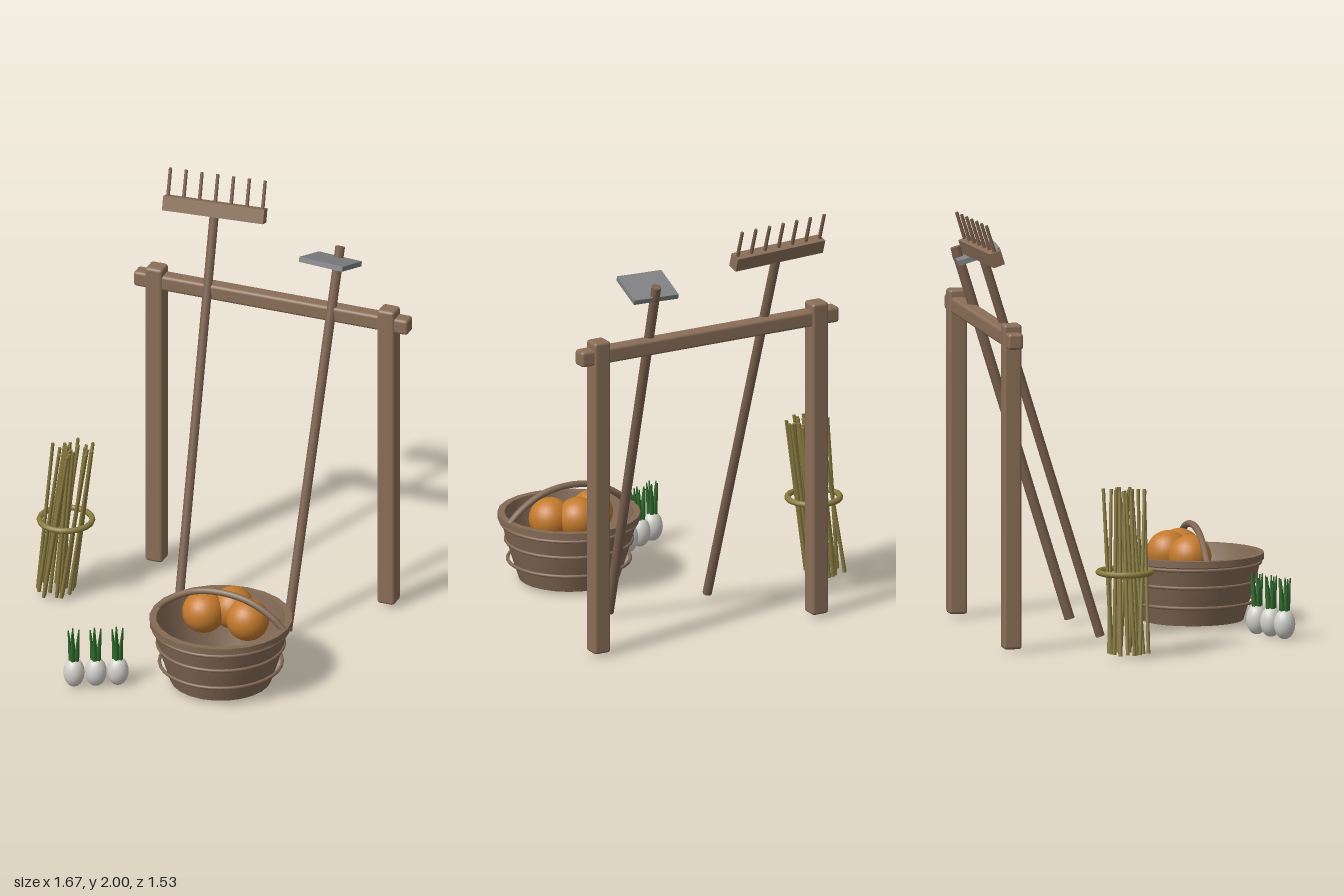
import * as THREE from 'three';
import { toCreasedNormals } from 'three/addons/utils/BufferGeometryUtils.js';
import { RoundedBoxGeometry } from 'three/addons/geometries/RoundedBoxGeometry.js';

function mat(name, color) {
  const m = new THREE.MeshStandardMaterial({ color });
  m.name = name;
  return m;
}

function add(parent, name, geometry, material, x = 0, y = 0, z = 0) {
  const m = new THREE.Mesh(geometry, material);
  m.name = name;
  m.position.set(x, y, z);
  parent.add(m);
  return m;
}

function addGroup(parent, name, x = 0, y = 0, z = 0) {
  const g = new THREE.Group();
  g.name = name;
  g.position.set(x, y, z);
  parent.add(g);
  return g;
}

// Round rod between two points
function rod(parent, name, a, b, r0, r1, sides, material) {
  const dir = b.clone().sub(a);
  const m = add(parent, name, new THREE.CylinderGeometry(r1, r0, dir.length(), sides), material);
  m.position.copy(a).addScaledVector(dir, 0.5);
  m.quaternion.setFromUnitVectors(new THREE.Vector3(0, 1, 0), dir.normalize());
  return m;
}

function hoop(parent, name, radius, tube, y, material, segments = 32) {
  const m = add(parent, name, new THREE.TorusGeometry(radius, tube, 8, segments), material, 0, y, 0);
  m.rotation.x = Math.PI / 2;
  return m;
}

const V = (x, y, z) => new THREE.Vector3(x, y, z);

export function createModel() {
  const root = new THREE.Group();
  root.name = 'gardenToolRack';
  const wood = mat('wood', 0x8a6f58);
  const handleWood = mat('handleWood', 0x7d6350);
  const wicker = mat('wicker', 0x836a55);
  const iron = mat('iron', 0x808283);
  const orange = mat('orange', 0xc47a2c);
  const cane = mat('cane', 0x8a7c40);
  const white = mat('bulbWhite', 0xd2d0ca);
  const green = mat('leafGreen', 0x2f6a2c);

  // Rack frame
  const rack = addGroup(root, 'rack', 0, 0, -0.62);
  for (const x of [-0.427, 0.733])
    add(rack, 'post', new RoundedBoxGeometry(0.086, 1.52, 0.086, 2, 0.014), wood, x, 0.78, 0);
  add(rack, 'crossbar', new RoundedBoxGeometry(1.37, 0.075, 0.072, 2, 0.014), wood, 0.155, 1.468, 0);

  // Rake leaning on the crossbar, teeth up
  const rake = addGroup(root, 'rake', -0.122, 0.02, -0.13);
  rake.rotation.set(-0.306, 0.085, 0, 'YXZ');
  rod(rake, 'rakeHandle', V(0, 0, 0), V(0, 1.9, 0), 0.022, 0.022, 8, handleWood);
  add(rake, 'rakeHead', new THREE.BoxGeometry(0.49, 0.068, 0.055), wood, 0, 1.91, 0);
  for (let i = -3; i <= 3; i++)
    rod(rake, 'rakeTooth', V(i * 0.0765, 1.93, 0), V(i * 0.0765, 2.075, 0), 0.009, 0.008, 8, handleWood);

  // Hoe leaning on the crossbar, blade up
  const hoe = addGroup(root, 'hoe', 0.415, 0.025, -0.155);
  hoe.rotation.set(-0.296, -0.09, 0, 'YXZ');
  rod(hoe, 'hoeHandle', V(0, 0, 0), V(0, 1.83, 0), 0.024, 0.024, 8, handleWood);
  add(hoe, 'hoeBlade', new THREE.BoxGeometry(0.225, 0.024, 0.205), iron, 0, 1.77, 0.085);

  // Basket bowl with wall thickness, floor and rim
  const basket = addGroup(root, 'basket', 0.31, 0, 0.405);
  const profile = [
    [0, 0.02], [0.235, 0.02], [0.264, 0.11], [0.293, 0.205], [0.316, 0.3],
    [0.332, 0.305], [0.332, 0.335], [0.3, 0.335], [0.272, 0.205], [0.21, 0.04], [0, 0.04],
  ].map(([r, y]) => new THREE.Vector2(r, y));
  add(basket, 'basketBowl', toCreasedNormals(new THREE.LatheGeometry(profile, 24), 0.5), wicker);
  hoop(basket, 'upperHoop', 0.316, 0.008, 0.29, wicker);
  hoop(basket, 'middleHoop', 0.295, 0.008, 0.205, wicker);
  hoop(basket, 'lowerHoop', 0.285, 0.008, 0.11, wicker);
  const arc = new THREE.CatmullRomCurve3([
    V(-0.318, 0.325, 0), V(-0.25, 0.385, 0), V(-0.14, 0.442, 0), V(0, 0.463, 0),
    V(0.14, 0.442, 0), V(0.25, 0.385, 0), V(0.318, 0.325, 0),
  ]);
  add(basket, 'basketHandle', new THREE.TubeGeometry(arc, 32, 0.016, 8), wicker);

  // Fruit in the basket
  for (const [x, y, z] of [[-0.1, 0.33, -0.035], [0.12, 0.33, -0.035], [0.015, 0.337, -0.113]])
    add(basket, 'fruit', new THREE.SphereGeometry(0.1, 24, 16), orange, x, y, z);

  // Row of white bulbs with leafy tops
  for (const [x, z] of [[-0.302, 0.705], [-0.211, 0.66], [-0.12, 0.614]]) {
    const plant = addGroup(root, 'bulbPlant', x, 0, z);
    add(plant, 'bulb', new THREE.SphereGeometry(0.05, 20, 14), white, 0, 0.075, 0).scale.y = 1.42;
    for (let i = 0; i < 5; i++) {
      const a = (i / 5) * Math.PI * 2 + 0.3;
      const c = Math.cos(a), s = Math.sin(a);
      rod(plant, 'leaf', V(c * 0.012, 0.13, s * 0.012), V(c * 0.027, 0.288, s * 0.027), 0.014, 0.003, 6, green);
    }
  }

  // Leaning cane bundle held by a ring
  const bundle = addGroup(root, 'caneBundle', -0.685, 0, -0.138);
  hoop(bundle, 'bundleRing', 0.123, 0.014, 0.4, cane, 18);
  let seed = 7;
  const rand = () => (seed = (seed * 16807) % 2147483647) / 2147483647;
  for (let i = 0; i < 20; i++) {
    const a = i * 2.4, r = 0.1 * Math.sqrt((i + 0.5) / 20);
    const x = Math.cos(a) * r - 0.008, z = Math.sin(a) * r;
    const lx = 0.045 + (rand() - 0.5) * 0.035, lz = (rand() - 0.5) * 0.06;
    rod(bundle, 'cane', V(x - lx, 0.025, z - lz), V(x + lx, 0.778, z + lz), 0.009, 0.008, 6, cane);
  }
  rod(bundle, 'cane', V(0.025, 0.025, 0.02), V(0.13, 0.778, 0), 0.009, 0.008, 6, cane);

  return root;
}
